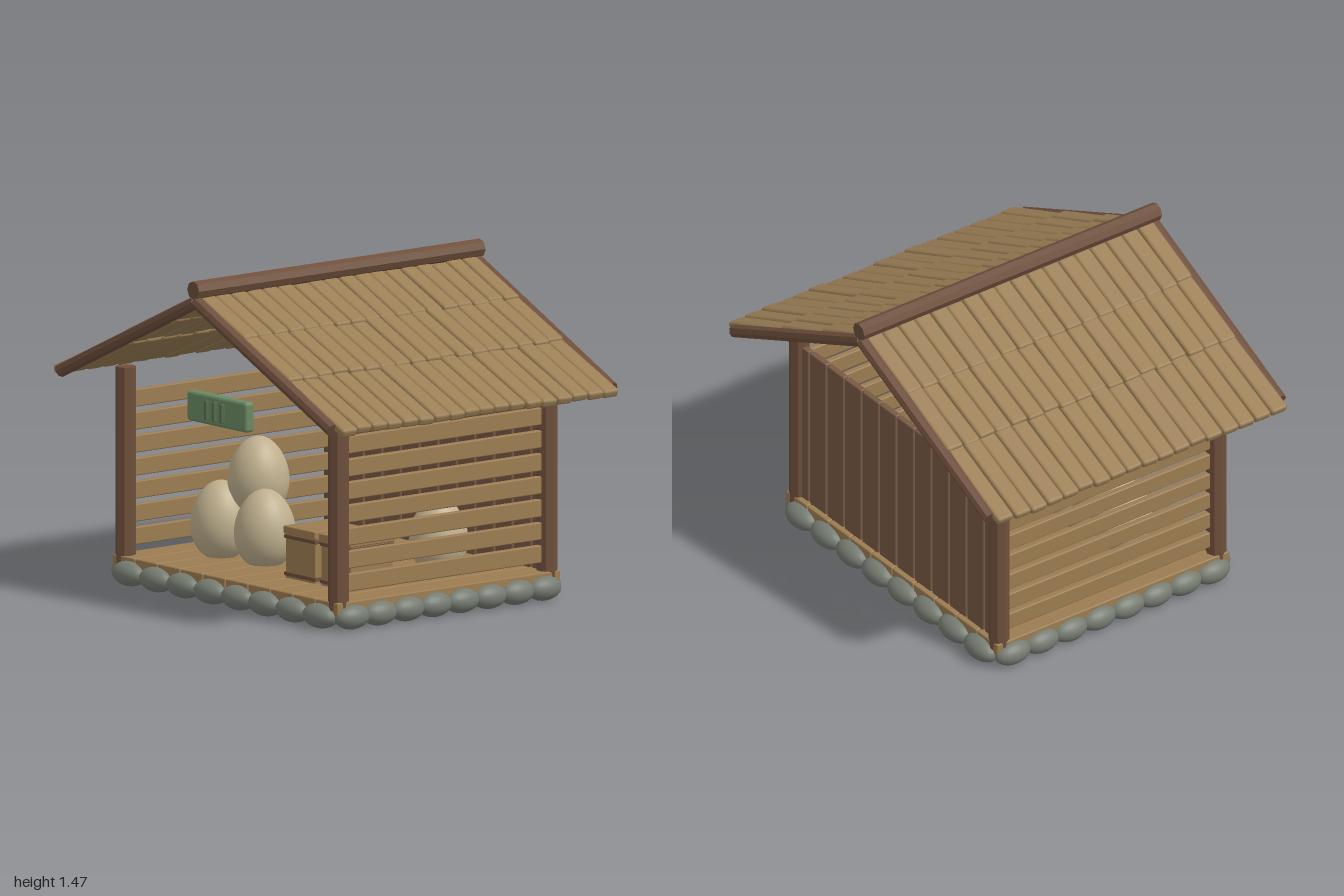
import * as THREE from 'three';
import { RoundedBoxGeometry } from 'three/addons/geometries/RoundedBoxGeometry.js';

const mat = (name, color) => {
  const m = new THREE.MeshStandardMaterial({ color });
  m.name = name;
  return m;
};

export function createModel() {
  const model = new THREE.Group();
  model.name = 'marketHut';
  const darkWood = mat('dark wood', 0x6e4f3c);
  const plankWood = mat('plank brown', 0x785a45);
  const lightWood = mat('light wood', 0x9c7c52);
  const thatch = mat('roof wood', 0x9a7e55);
  const stone = mat('grey stone', 0x767c72);
  const shell = mat('cream shell', 0xbfb08e);
  const green = mat('sign green', 0x6b8a63);
  const darkGreen = mat('sign dark green', 0x55694c);

  // small seeded jitter in -1..1
  let seed = 7;
  const jitter = () => {
    seed = (seed * 16807) % 2147483647;
    return (seed / 2147483647) * 2 - 1;
  };

  const group = (name, parent = model) => {
    const g = new THREE.Group();
    g.name = name;
    parent.add(g);
    return g;
  };
  const add = (parent, name, geo, material, x, y, z) => {
    const m = new THREE.Mesh(geo, material);
    m.name = name;
    m.position.set(x, y, z);
    parent.add(m);
    return m;
  };
  const board = (w, h, d, r = 0.006) => new RoundedBoxGeometry(w, h, d, 1, r);
  const log = (r, length) => {
    const g = new THREE.CylinderGeometry(r, r, length, 8).toNonIndexed();
    g.computeVertexNormals();
    return g;
  };

  // floor planks running front to back
  const floor = group('floor');
  const floorPlank = board(0.15, 0.06, 1.26);
  for (let i = 0; i < 10; i++) add(floor, 'floorPlank', floorPlank, lightWood, (i - 4.5) * 0.155, 0.1, 0);

  // ring of foundation stones
  const stones = group('foundationStones');
  const ball = new THREE.SphereGeometry(1, 20, 14);
  for (const s of [-1, 1]) {
    for (let i = 0; i < 8; i++) {
      add(stones, 'stone', ball, stone, (i - 3.5) * 0.187, 0.06, s * 0.63).scale.set(0.1, 0.055, 0.06);
      add(stones, 'stone', ball, stone, s * 0.765, 0.06, (i - 3.5) * 0.155).scale.set(0.055, 0.055, 0.09);
    }
  }

  // corner posts
  const posts = group('cornerPosts');
  const post = log(0.046, 0.875);
  for (const x of [-0.73, 0.73]) for (const z of [-0.59, 0.59]) add(posts, 'cornerPost', post, darkWood, x, 0.5275, z);

  // back wall of upright planks
  const back = group('backWall');
  const wallPlank = board(0.118, 0.8, 0.03);
  for (let i = 0; i < 12; i++) add(back, 'wallPlank', wallPlank, plankWood, (i - 5.5) * 0.128, 0.508, -0.59);

  // side walls of spaced slats
  const sides = group('sideWalls');
  const slat = board(0.03, 0.078, 1.1);
  for (const x of [-0.73, 0.73]) for (let i = 0; i < 7; i++) add(sides, 'sideSlat', slat, lightWood, x, 0.207 + i * 0.102, 0);

  // roof: each slope is built along local +x, falling away from the ridge
  const roof = group('roof');
  const angle = Math.atan(0.468);
  const rows = [[0.0, 0.335], [0.28, 0.675], [0.61, 1.085]];
  const rafter = log(0.03, 1.03);
  for (const side of [0, 1]) {
    const turn = group(side ? 'leftSlope' : 'rightSlope', roof);
    turn.position.y = 1.377;
    turn.rotation.y = side ? 0 : Math.PI;
    const slope = group('slope', turn);
    slope.rotation.z = -angle;
    for (const z of [-0.79, 0.79]) add(slope, 'rafter', rafter, darkWood, 0.515, 0, z).rotation.z = Math.PI / 2;
    rows.forEach(([a, b], r) => {
      const tile = new RoundedBoxGeometry(b - a, 0.04, 0.085, 2, 0.014);
      for (let i = 0; i < 18; i++) {
        const t = add(slope, 'roofTile', tile, thatch,
          (a + b) / 2 + jitter() * 0.008, 0.01 + jitter() * 0.003, (i - 8.5) * 0.0868);
        t.rotation.set(jitter() * 0.03, jitter() * 0.012, r ? 0.03 : 0.02);
      }
    });
  }
  add(roof, 'ridgeLog', log(0.041, 1.62), darkWood, 0, 1.43, 0).rotation.x = Math.PI / 2;

  // hanging sign with three raised bars
  const sign = group('sign');
  add(sign, 'signBoard', new RoundedBoxGeometry(0.41, 0.135, 0.05, 2, 0.015), green, 0, 0.877, 0.655);
  for (const x of [-0.053, 0, 0.053]) add(sign, 'signBar', board(0.014, 0.085, 0.024, 0.003), darkGreen, x, 0.877, 0.688);

  // eggs: lathe profile, fuller towards the bottom
  const eggs = group('eggs');
  const profile = [];
  for (let i = 0; i <= 24; i++) {
    const t = (i / 24) * Math.PI;
    const y = -Math.cos(t);
    profile.push(new THREE.Vector2(Math.max(0, Math.sin(t) * 0.135 * (1 - 0.1 * y)), y * 0.178));
  }
  const egg = new THREE.LatheGeometry(profile, 28);
  const places = [[-0.44, 0.288, 0.29, 1], [-0.175, 0.283, 0.26, 1], [-0.31, 0.49, 0.185, 1], [0.44, 0.285, -0.215, 0.96]];
  for (const [x, y, z, s] of places) add(eggs, 'egg', egg, shell, x, y, z).scale.setScalar(s);

  // crates with lid, dark bands and corner feet
  const crates = group('crates');
  for (const x of [0.243, 0.488]) {
    const crate = group('crate', crates);
    crate.position.set(x, 0, 0.285);
    add(crate, 'crateBody', board(0.205, 0.2, 0.24), lightWood, 0, 0.225, 0);
    add(crate, 'crateLid', board(0.218, 0.036, 0.255), lightWood, 0, 0.343, 0);
    add(crate, 'upperBand', board(0.213, 0.018, 0.248, 0.003), darkWood, 0, 0.314, 0);
    add(crate, 'lowerBand', board(0.213, 0.018, 0.248, 0.003), darkWood, 0, 0.148, 0);
  }
  return model;
}
